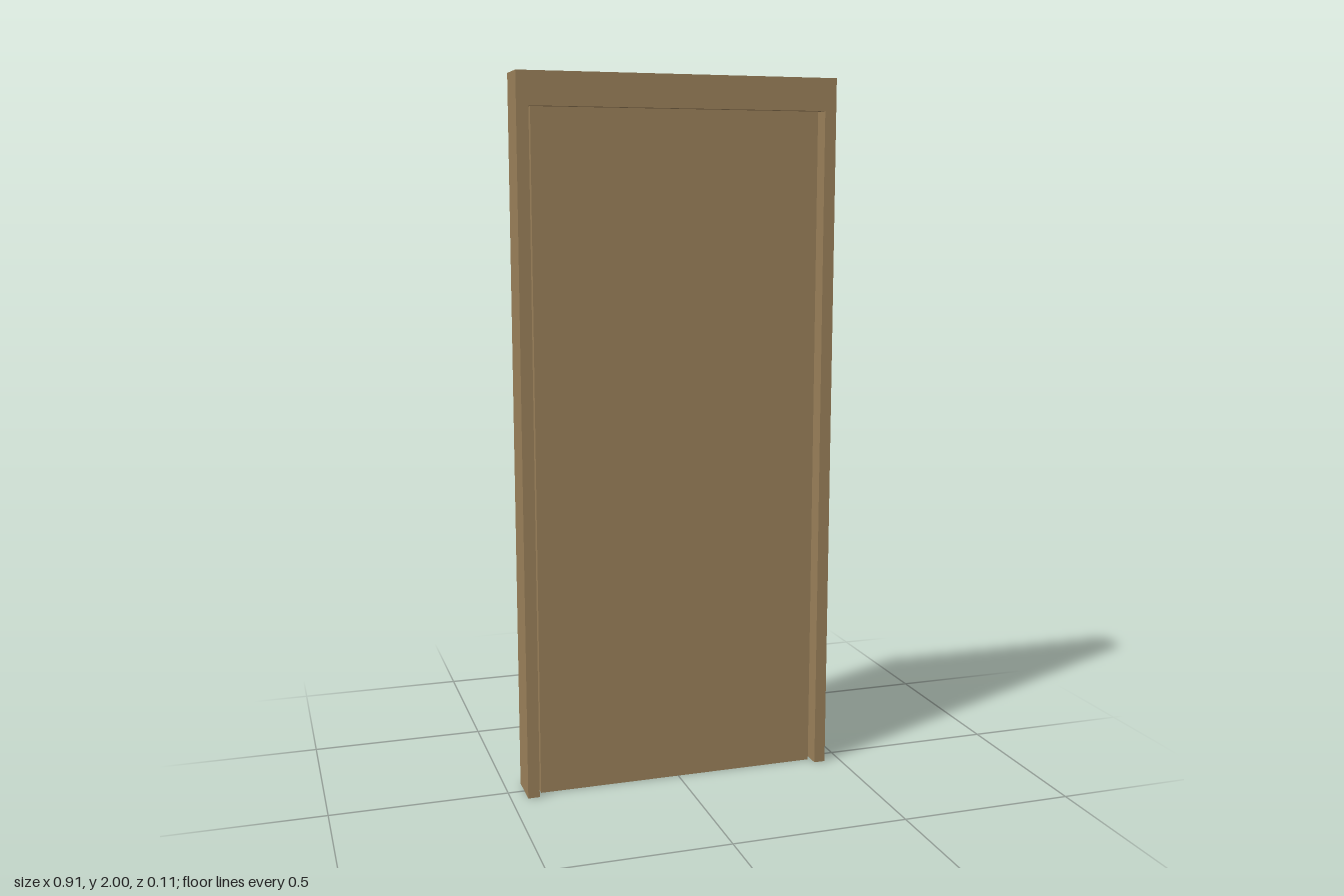
import * as THREE from 'three';

export function createModel() {
  const group = new THREE.Group();
  group.name = 'door';
  const wood = new THREE.MeshStandardMaterial({ color: 0x997f59 });
  wood.name = 'brown wood';

  const halfWidth = 0.453, innerHalf = 0.42, height = 2, headerBottom = 1.91;
  const frameDepth = 0.11, leafDepth = 0.055, leafWidth = 0.82;

  // One-piece frame: two thin jambs joined by a taller header
  const outline = new THREE.Shape([
    [-halfWidth, 0], [-innerHalf, 0], [-innerHalf, headerBottom], [innerHalf, headerBottom],
    [innerHalf, 0], [halfWidth, 0], [halfWidth, height], [-halfWidth, height],
  ].map(([x, y]) => new THREE.Vector2(x, y)));
  const frameGeometry = new THREE.ExtrudeGeometry(outline, { depth: frameDepth, bevelEnabled: false });
  frameGeometry.translate(0, 0, -frameDepth / 2);
  const frame = new THREE.Mesh(frameGeometry, wood);
  frame.name = 'doorFrame';

  // Flat door leaf, recessed on both faces with a narrow gap beside each jamb
  const leaf = new THREE.Mesh(new THREE.BoxGeometry(leafWidth, headerBottom, leafDepth), wood);
  leaf.position.y = headerBottom / 2;
  leaf.name = 'doorLeaf';

  group.add(frame, leaf);
  return group;
}
